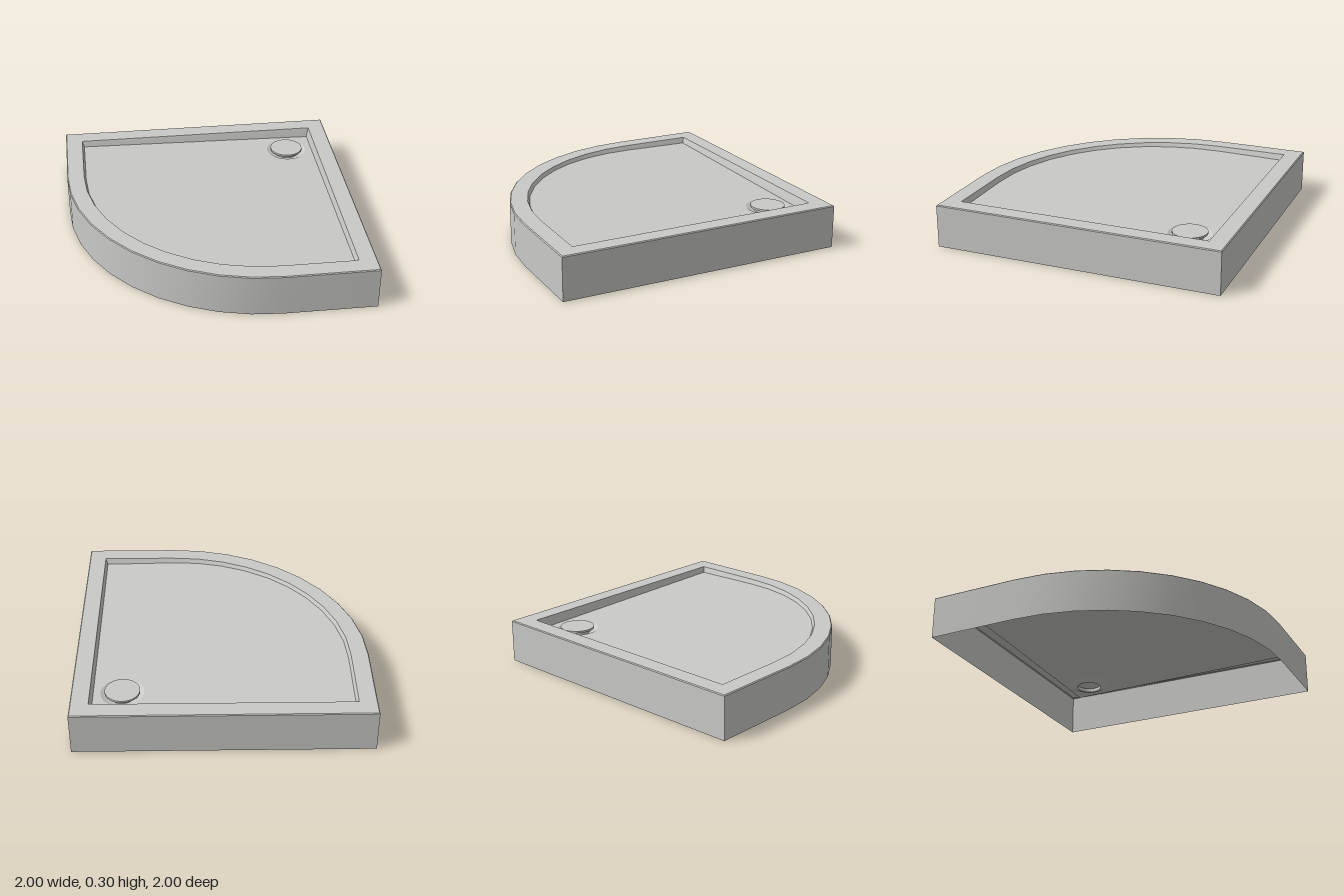
import * as THREE from 'three';
import { toCreasedNormals } from 'three/addons/utils/BufferGeometryUtils.js';

const HEIGHT = 0.3, ARC_RADIUS = 1.37, ARC_STEPS = 10;
const DRAIN = { x: 0.67, z: -0.68 };

// Quadrant outline, inset by d: three square corners and one large arc at (-x, +z)
function outline(d) {
  const e = 1 - d, c = 1 - ARC_RADIUS, r = ARC_RADIUS - d;
  const pts = [[e, -e], [e, e]];
  for (let i = 0; i <= ARC_STEPS; i++) {
    const a = (i / ARC_STEPS) * Math.PI / 2;
    pts.push([-c - r * Math.sin(a), c + r * Math.cos(a)]);
  }
  pts.push([-e, -e]);
  return pts;
}

// The floor falls gently towards the drain corner
const floorY = (x, z) => 0.258 + 0.016 * (z - x);

// Lift a flat geometry onto the sloping floor
function drape(geometry) {
  const p = geometry.attributes.position;
  for (let i = 0; i < p.count; i++) p.setY(i, p.getY(i) + floorY(p.getX(i), p.getZ(i)));
  geometry.computeVertexNormals();
  return geometry;
}

// Skin joining successive outlines: [inset, height function]
function loft(sections) {
  const pos = [], index = [];
  const rings = sections.map(([d, h]) => outline(d).map(([x, z]) => [x, h(x, z), z]));
  const n = rings[0].length;
  rings.forEach(ring => ring.forEach(p => pos.push(...p)));
  for (let s = 0; s < rings.length - 1; s++) {
    for (let i = 0; i < n; i++) {
      const j = (i + 1) % n;
      const a = s * n + i, b = s * n + j, c = a + n, d = b + n;
      index.push(a, c, b, b, c, d);
    }
  }
  const g = new THREE.BufferGeometry();
  g.setAttribute('position', new THREE.Float32BufferAttribute(pos, 3));
  g.setIndex(index);
  return toCreasedNormals(g, 0.5);
}

export function createModel() {
  const group = new THREE.Group();
  group.name = 'showerTray';
  const grey = new THREE.MeshStandardMaterial({ color: 0xc9c9c7, side: THREE.DoubleSide });
  grey.name = 'lightGrey';
  const add = (name, geometry) => {
    const mesh = new THREE.Mesh(geometry, grey);
    mesh.name = name;
    group.add(mesh);
    return mesh;
  };

  // Open-bottomed skirt, flat rim and the small step down to the floor
  add('skirtAndRim', loft([
    [0, () => 0],
    [0, () => HEIGHT - 0.006],
    [0.006, () => HEIGHT],
    [0.122, () => HEIGHT],
    [0.136, floorY],
  ]));

  // Sloping floor with a round opening for the drain
  const shape = new THREE.Shape(outline(0.136).map(([x, z]) => new THREE.Vector2(x, -z)));
  const hole = new THREE.Path();
  hole.absarc(DRAIN.x, -DRAIN.z, 0.145, 0, Math.PI * 2, true);
  shape.holes.push(hole);
  add('floor', drape(new THREE.ShapeGeometry(shape, 16).rotateX(-Math.PI / 2)));

  // Shallow funnel around the drain, with a neck that carries the cap
  const profile = [[0.09, 0.01], [0.09, -0.022], [0.115, -0.018], [0.145, 0]]
    .map(([r, y]) => new THREE.Vector2(r, y));
  const funnel = new THREE.LatheGeometry(profile, 32).translate(DRAIN.x, 0, DRAIN.z);
  add('drainFunnel', toCreasedNormals(drape(funnel), 0.5));

  // Round drain cap
  const cap = add('drainCap', new THREE.CylinderGeometry(0.118, 0.118, 0.014, 32));
  cap.position.set(DRAIN.x, 0.248, DRAIN.z);

  return group;
}
